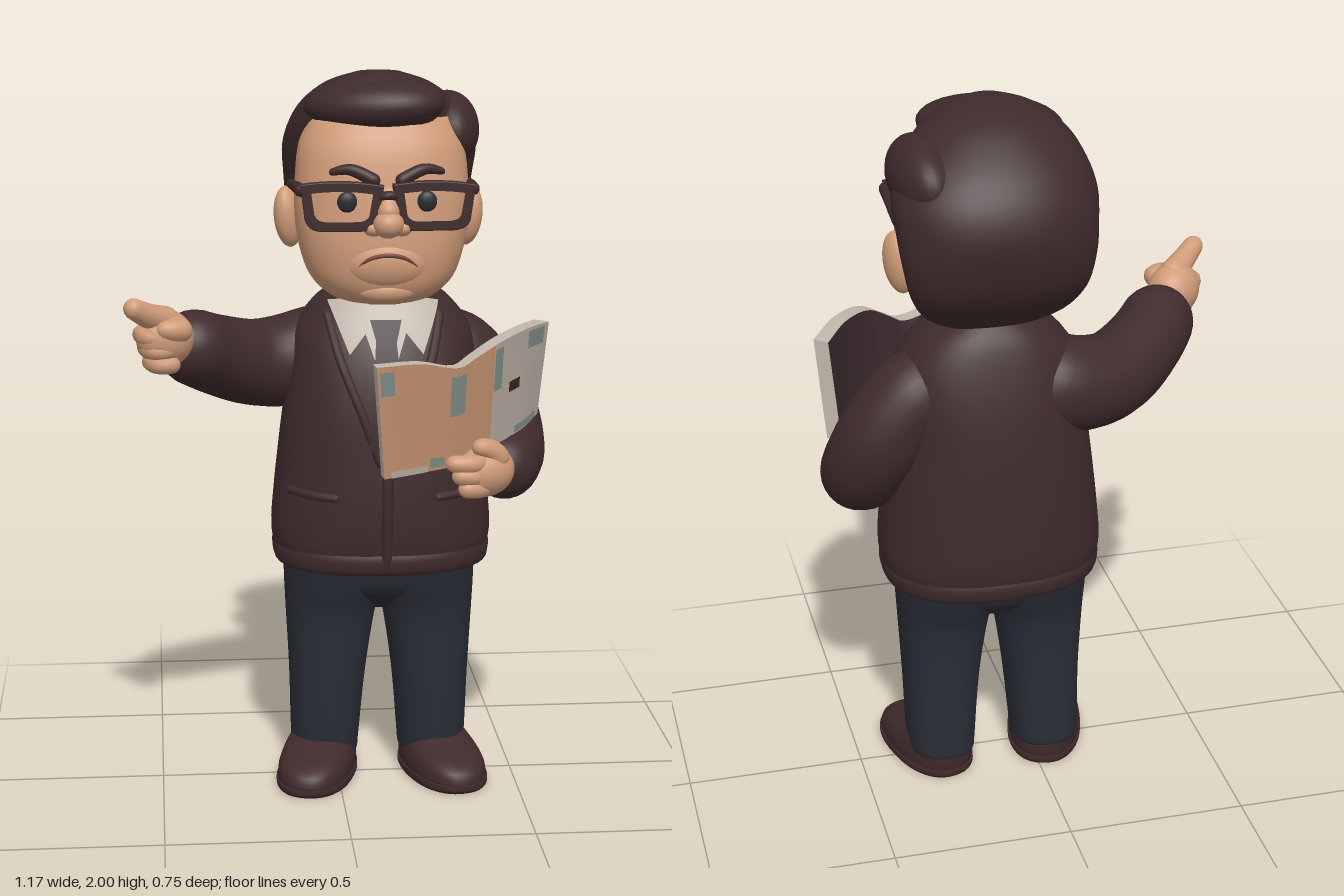
import * as THREE from 'three';
import { mergeVertices } from 'three/addons/utils/BufferGeometryUtils.js';

const V = (a) => new THREE.Vector3(...a);
const mat = (name, color, side = THREE.FrontSide) => {
  const m = new THREE.MeshStandardMaterial({ color, side });
  m.name = name;
  return m;
};

// Smooth surface from a rule fn(u, v) -> [x, y, z]
function grid(nu, nv, fn) {
  const pos = [], idx = [];
  for (let j = 0; j <= nv; j++) for (let i = 0; i <= nu; i++) pos.push(...fn(i / nu, j / nv));
  for (let j = 0; j < nv; j++) for (let i = 0; i < nu; i++) {
    const a = j * (nu + 1) + i, c = a + nu + 1;
    idx.push(a, a + 1, c, a + 1, c + 1, c);
  }
  let g = new THREE.BufferGeometry();
  g.setAttribute('position', new THREE.Float32BufferAttribute(pos, 3));
  g.setIndex(idx);
  g = mergeVertices(g, 1e-5);
  g.computeVertexNormals();
  return g;
}

// Rings are [y, centre x, half width, front z, back z], blended smoothly
function ringAt(rings, t) {
  const s = t * (rings.length - 1), i = Math.min(Math.floor(s), rings.length - 2), f = s - i;
  const k = (n) => rings[THREE.MathUtils.clamp(n, 0, rings.length - 1)];
  return k(i).map((b, c) => {
    const a = k(i - 1)[c], d = k(i + 1)[c], e = k(i + 2)[c];
    return b + 0.5 * f * (d - a + f * (2 * a - 5 * b + 4 * d - e + f * (3 * (b - d) + e - a)));
  });
}
const pw = (c, n) => Math.sign(c) * Math.abs(c) ** (2 / n);
function loft(rings, n = 2.4) {
  const nv = (rings.length - 1) * 4;
  return grid(48, nv + 2, (u, v) => {
    const row = Math.round(v * (nv + 2));
    const [y, cx, hw, zf, zb] = ringAt(rings, THREE.MathUtils.clamp((row - 1) / nv, 0, 1));
    const k = row === 0 || row === nv + 2 ? 0 : 1, a = -2 * Math.PI * (u === 1 ? 0 : u);
    return [cx + k * hw * pw(Math.cos(a), n), y, (zf + zb) / 2 + k * (zf - zb) / 2 * pw(Math.sin(a), n)];
  });
}

// Tube with a radius that changes along its path and rounded ends
function limb(points, radii, nu = 20, nv = 30) {
  const curve = new THREE.CatmullRomCurve3(points.map(V));
  const fr = curve.computeFrenetFrames(nv, false);
  const len = curve.getLength();
  return grid(nu, nv, (u, v0) => {
    const v = (1 - Math.cos(Math.PI * v0)) / 2, j = Math.round(v * nv);
    const s = v * (radii.length - 1), i = Math.min(Math.floor(s), radii.length - 2);
    let r = THREE.MathUtils.lerp(radii[i], radii[i + 1], s - i);
    const d = Math.min(v, 1 - v) * len / r;
    if (d < 1) r *= Math.sqrt(Math.max(0, 1 - (1 - d) ** 2));
    const a = u === 1 ? 0 : u * 2 * Math.PI;
    return curve.getPointAt(v).addScaledVector(fr.normals[j], r * Math.cos(a))
      .addScaledVector(fr.binormals[j], r * Math.sin(a)).toArray();
  });
}

export function createModel() {
  const root = new THREE.Group();
  const knit = mat('dark brown knit', 0x3f2b2c), hairM = mat('hair', 0x3e2a2b);
  const skin = mat('skin', 0xd09b78, THREE.DoubleSide), cloth = mat('navy trousers', 0x2a2d36);
  const leather = mat('shoe leather', 0x402a2b), white = mat('off white', 0xc2b7ab, THREE.DoubleSide);
  const teal = mat('faded teal', 0x879690, THREE.DoubleSide), dark = mat('dark trim', 0x38272b, THREE.DoubleSide);
  const lip = mat('mouth brown', 0x74483a);
  const add = (name, geo, m, parent = root) => {
    const o = new THREE.Mesh(geo, m);
    o.name = name;
    parent.add(o);
    return o;
  };
  const ball = (name, m, p, s, r = [0, 0, 0]) => {
    const o = add(name, new THREE.SphereGeometry(1, 32, 20), m);
    o.position.set(...p); o.scale.set(...s); o.rotation.set(...r);
    return o;
  };
  const CX = 0.122;

  // Trousers and shoes
  add('trouserSeat', loft([[0.5, 0.12, 0.05, 0.03, -0.11], [0.53, 0.12, 0.1, 0.075, -0.155],
    [0.58, 0.12, 0.2, 0.122, -0.205], [0.68, 0.12, 0.25, 0.148, -0.238]]), cloth);
  for (const s of [-1, 1]) {
    const side = s < 0 ? 'right' : 'left';
    add(side + 'TrouserLeg', loft([[0.07, 0.12 + s * 0.152, 0.093, 0.06, -0.165], [0.11, 0.12 + s * 0.153, 0.097, 0.065, -0.168],
      [0.3, 0.12 + s * 0.147, 0.108, 0.085, -0.165], [0.48, 0.12 + s * 0.138, 0.126, 0.1, -0.18],
      [0.57, 0.12 + s * 0.128, 0.14, 0.125, -0.21], [0.66, 0.12 + s * 0.125, 0.145, 0.15, -0.24]]), cloth);
    const shoe = new THREE.Group();
    shoe.name = side + 'Shoe';
    shoe.position.set(0.12 + s * 0.172, 0, 0);
    shoe.rotation.y = s * 0.27;
    root.add(shoe);
    add('sole', loft([[0, 0, 0.103, 0.21, -0.155], [0.01, 0, 0.108, 0.22, -0.162], [0.026, 0, 0.108, 0.22, -0.162]], 2.3), leather, shoe);
    add('upper', loft([[0.024, 0, 0.104, 0.216, -0.158], [0.055, 0, 0.104, 0.205, -0.16], [0.08, 0, 0.098, 0.165, -0.157],
      [0.1, 0, 0.09, 0.1, -0.15], [0.125, 0, 0.075, 0.04, -0.135]], 2.3), leather, shoe);
  }

  // Cardigan body and hem
  const torso = [[0.645, 0.125, 0.292, 0.18, -0.28], [0.72, 0.125, 0.308, 0.2, -0.302], [0.82, 0.125, 0.302, 0.205, -0.305],
    [0.95, 0.125, 0.288, 0.2, -0.302], [1.08, 0.125, 0.272, 0.19, -0.292], [1.2, 0.13, 0.262, 0.165, -0.275],
    [1.3, 0.13, 0.242, 0.125, -0.25], [1.38, 0.13, 0.18, 0.08, -0.22], [1.43, 0.13, 0.1, 0.03, -0.18]];
  add('cardiganBody', loft(torso, 2.4), knit);
  add('cardiganHem', loft([[0.635, 0.125, 0.285, 0.17, -0.27], [0.645, 0.125, 0.3, 0.192, -0.29],
    [0.68, 0.125, 0.306, 0.2, -0.3], [0.705, 0.125, 0.3, 0.193, -0.293]], 2.4), knit);
  const chestZ = (x, y) => {
    let a = 0, b = 1;
    for (let i = 0; i < 20; i++) { const m = (a + b) / 2; ringAt(torso, m)[0] < y ? a = m : b = m; }
    const [, cx, hw, zf, zb] = ringAt(torso, a), q = Math.min(1, Math.abs(x - cx) / hw);
    return (zf + zb) / 2 + (zf - zb) / 2 * (1 - q ** 2.4) ** (1 / 2.4);
  };
  // Thin four-cornered panel laid on the chest: bottom left, bottom right, top right, top left
  const panel = (name, m, [a, b, c, d], off) => add(name, grid(10, 10, (u, v) => {
    const L = THREE.MathUtils.lerp;
    const x = L(L(a[0], b[0], u), L(d[0], c[0], u), v), y = L(L(a[1], b[1], u), L(d[1], c[1], u), v);
    return [x, y, chestZ(x, y) + off];
  }), m);
  const rib = (name, pts, r) => add(name, limb(pts.map(([x, y]) => [x, y, chestZ(x, y) + 0.002]), [r, r], 10, 24), knit);

  panel('shirtFront', white, [[0.09, 1.24], [0.154, 1.24], [0.21, 1.4], [0.035, 1.4]], 0.007);
  panel('tieBlade', dark, [[0.07, 1.0], [0.175, 1.0], [0.148, 1.31], [0.096, 1.31]], 0.014);
  panel('tieKnot', dark, [[0.098, 1.275], [0.146, 1.275], [0.165, 1.345], [0.079, 1.345]], 0.026);
  for (const s of [-1, 1]) {
    const m = (x, y) => [CX + s * x, y];
    panel('collarWing', white, [m(0.1, 1.255), m(0.035, 1.335), m(0.045, 1.41), m(0.152, 1.385)], 0.022);
    rib('neckBand', [m(0.155, 1.36), m(0.125, 1.24), m(0.07, 1.1), m(0.015, 0.95)], 0.013);
    panel('pocket', knit, s < 0 ? [m(0.26, 0.715), m(0.13, 0.715), m(0.13, 0.86), m(0.265, 0.86)]
      : [m(0.13, 0.715), m(0.26, 0.715), m(0.265, 0.86), m(0.13, 0.86)], 0.007);
    rib('pocketBand', [m(0.13, 0.862), m(0.2, 0.865), m(0.265, 0.868)], 0.012);
  }
  rib('buttonBand', [[CX, 0.96], [CX, 0.8], [CX, 0.645]], 0.015);

  // Sleeves
  add('rightSleeve', limb([[0.07, 1.25, -0.11], [-0.07, 1.2, -0.12], [-0.21, 1.19, -0.08], [-0.34, 1.235, 0.015], [-0.455, 1.308, 0.15]],
    [0.14, 0.135, 0.12, 0.108, 0.098], 28, 48), knit);
  add('leftSleeve', limb([[0.22, 1.26, -0.09], [0.34, 1.2, -0.1], [0.44, 1.07, -0.095], [0.475, 0.96, -0.03], [0.46, 0.935, 0.09], [0.42, 0.935, 0.21]],
    [0.11, 0.125, 0.125, 0.115, 0.1, 0.088], 28, 48), knit);

  // Pointing hand
  ball('rightFist', skin, [-0.475, 1.315, 0.178], [0.084, 0.077, 0.07], [0, 0.7, -0.3]);
  add('pointingFinger', limb([[-0.45, 1.35, 0.16], [-0.52, 1.385, 0.225], [-0.575, 1.423, 0.272]], [0.045, 0.034, 0.026]), skin);
  for (let i = 0; i < 3; i++) {
    const y = 1.33 - i * 0.037, k = i * 0.012;
    add('curledFinger', limb([[-0.5 + k, y, 0.15], [-0.535 + k, y, 0.2], [-0.505 + k, y - 0.005, 0.228], [-0.46 + k, y - 0.005, 0.215]],
      [0.026, 0.028, 0.026, 0.022], 12, 18), skin);
  }
  add('rightThumb', limb([[-0.41, 1.34, 0.2], [-0.45, 1.345, 0.23], [-0.5, 1.35, 0.238]], [0.035, 0.03, 0.022], 12, 18), skin);

  // Open book: columns run from its right edge across the spine to its left edge
  const top = new THREE.CatmullRomCurve3([[0.075, 1.265, 0.37], [0.2, 1.268, 0.35], [0.3, 1.252, 0.33], [0.345, 1.275, 0.315],
    [0.41, 1.31, 0.29], [0.5, 1.328, 0.19], [0.578, 1.322, 0.065]].map(V));
  const low = new THREE.CatmullRomCurve3([[0.105, 0.94, 0.285], [0.21, 0.952, 0.265], [0.3, 0.965, 0.245], [0.345, 0.985, 0.23],
    [0.41, 1.005, 0.195], [0.5, 1.03, 0.11], [0.56, 1.05, 0.01]].map(V));
  const page = (u, v, off) => low.getPoint(u).lerp(top.getPoint(u), v)
    .add(V([(0.1 + 0.65 * u) * off, 0, (1 - 0.3 * u) * off])).toArray();
  const T = -0.046;
  const book = new THREE.Group();
  book.name = 'openBook';
  root.add(book);
  const patch = (name, m, u0, u1, v0, v1, off = 0.003) =>
    add(name, grid(24, 8, (u, v) => page(u0 + (u1 - u0) * u, v0 + (v1 - v0) * v, off)), m, book);
  patch('rightPage', skin, 0, 0.5, 0, 1, 0);
  patch('leftPageInner', skin, 0.5, 0.64, 0, 1, 0);
  patch('leftPageOuter', white, 0.64, 1, 0, 1, 0);
  add('bookCover', grid(24, 8, (u, v) => page(1 - u, v, T)), dark, book);
  for (const e of [0, 1]) {
    add('pageEdge', grid(24, 1, (u, v) => page(u, e, T * v)), white, book);
    add('pageEdge', grid(8, 1, (u, v) => page(e, u, T * v)), white, book);
  }
  for (const p of [[0.01, 0.06, 0.74, 0.95], [0.29, 0.4, 0.52, 0.92], [0.2, 0.27, 0.03, 0.12], [0.64, 0.69, 0.55, 0.95],
    [0.84, 0.96, 0.8, 0.97], [0.78, 0.95, 0.02, 0.09]]) patch('tealPatch', teal, ...p);
  patch('palePatch', white, 0.03, 0.19, 0, 0.06);
  patch('darkSpot', dark, 0.73, 0.79, 0.47, 0.57, 0.006);

  // Hand holding the book
  ball('leftPalm', skin, [0.385, 0.945, 0.225], [0.085, 0.072, 0.065], [0, 0.4, 0]);
  for (let i = 0; i < 3; i++) {
    const y = 0.975 - i * 0.035, k = i * 0.018;
    add('leftFinger', limb([[0.4, y, 0.24], [0.34, y, 0.275], [0.27 + k, y + 0.005, 0.28]], [0.026, 0.027, 0.022], 12, 18), skin);
  }
  add('leftThumb', limb([[0.43, 0.96, 0.23], [0.4, 1.005, 0.25], [0.345, 1.025, 0.27]], [0.036, 0.03, 0.022], 12, 18), skin);

  // Head
  add('neck', loft([[1.33, 0.125, 0.09, 0.04, -0.17], [1.46, 0.125, 0.1, 0.06, -0.17]]), skin);
  add('face', loft([[1.38, CX, 0.09, 0.09, -0.12], [1.4, CX, 0.145, 0.135, -0.15], [1.45, CX, 0.197, 0.163, -0.18],
    [1.53, CX, 0.226, 0.172, -0.2], [1.62, CX, 0.238, 0.165, -0.2], [1.72, CX, 0.236, 0.152, -0.2],
    [1.81, CX, 0.224, 0.13, -0.2], [1.88, CX, 0.19, 0.09, -0.18]], 2.35), skin);
  ball('nose', skin, [CX, 1.615, 0.185], [0.042, 0.038, 0.046]);
  add('noseBridge', limb([[CX, 1.71, 0.15], [CX, 1.66, 0.175], [CX, 1.62, 0.195]], [0.026, 0.03, 0.034]), skin);
  ball('muzzle', skin, [CX, 1.505, 0.13], [0.12, 0.075, 0.052]);
  ball('chin', skin, [CX, 1.425, 0.12], [0.085, 0.036, 0.042]);
  add('mouth', limb([[0.04, 1.495, 0.163], [0.075, 1.52, 0.176], [CX, 1.53, 0.181], [0.17, 1.52, 0.176], [0.205, 1.495, 0.163]],
    [0.004, 0.006, 0.006, 0.004], 8, 24), lip);

  // Glasses frame outline
  const outline = (w, h, path) => {
    path.moveTo(-w, h * 0.9); path.quadraticCurveTo(0, h * 1.15, w, h * 0.85);
    path.lineTo(w * 0.88, -h * 0.6); path.quadraticCurveTo(w * 0.8, -h, w * 0.45, -h);
    path.lineTo(-w * 0.5, -h); path.quadraticCurveTo(-w * 0.82, -h, -w * 0.9, -h * 0.5);
    path.closePath();
    return path;
  };
  for (const s of [-1, 1]) {
    ball('ear', skin, [CX + s * 0.25, 1.595, -0.11], [0.038, 0.086, 0.05], [0.12, s * 0.4, -s * 0.12]);
    ball('nostril', skin, [CX + s * 0.038, 1.602, 0.17], [0.028, 0.022, 0.03]);
    ball('eye', cloth, [CX + s * 0.107, 1.67, 0.15], [0.027, 0.028, 0.014]);
    add('eyebrow', limb([[CX + s * 0.155, 1.748, 0.142], [CX + s * 0.1, 1.757, 0.155], [CX + s * 0.022, 1.722, 0.172]],
      [0.009, 0.017, 0.019], 12, 20), hairM);
    const rim = outline(0.108, 0.063, new THREE.Shape());
    rim.holes.push(outline(0.082, 0.04, new THREE.Path()));
    const g = new THREE.ExtrudeGeometry(rim, { depth: 0.02, bevelEnabled: true, bevelSize: 0.003, bevelThickness: 0.003, bevelSegments: 2 });
    const f = add('glassesRim', g, hairM);
    f.position.set(CX + s * 0.122, 1.662, 0.165);
    f.rotation.y = s * 0.06;
    add('glassesTemple', limb([[CX + s * 0.23, 1.703, 0.17], [CX + s * 0.237, 1.7, 0.06], [CX + s * 0.245, 1.69, -0.09]],
      [0.018, 0.015, 0.013], 10, 16), hairM);
  }
  add('glassesBridge', limb([[CX - 0.03, 1.685, 0.178], [CX, 1.693, 0.195], [CX + 0.03, 1.685, 0.178]], [0.012, 0.012], 10, 12), hairM);

  // Hair: rounded back mass, forward swept fringe and parted side
  add('hairBack', loft([[1.405, 0.13, 0.11, -0.09, -0.17], [1.46, 0.13, 0.19, -0.11, -0.25], [1.54, 0.13, 0.236, -0.13, -0.322],
    [1.63, 0.13, 0.257, -0.105, -0.36], [1.71, 0.13, 0.266, -0.045, -0.375], [1.79, 0.13, 0.27, 0.005, -0.357],
    [1.86, 0.125, 0.247, 0.05, -0.315], [1.92, 0.118, 0.205, 0.075, -0.255], [1.97, 0.115, 0.14, 0.07, -0.185],
    [1.998, 0.115, 0.06, 0.02, -0.1]], 2.1), hairM);
  ball('hairFringe', hairM, [0.1, 1.914, 0.0], [0.195, 0.076, 0.125], [0.06, -0.3, 0.06]);
  ball('hairQuiff', hairM, [0.165, 1.915, 0.03], [0.11, 0.058, 0.09], [0.05, -0.25, -0.15]);
  ball('hairSide', hairM, [0.312, 1.83, -0.125], [0.087, 0.108, 0.165], [0, 0.05, -0.1]);
  return root;
}
